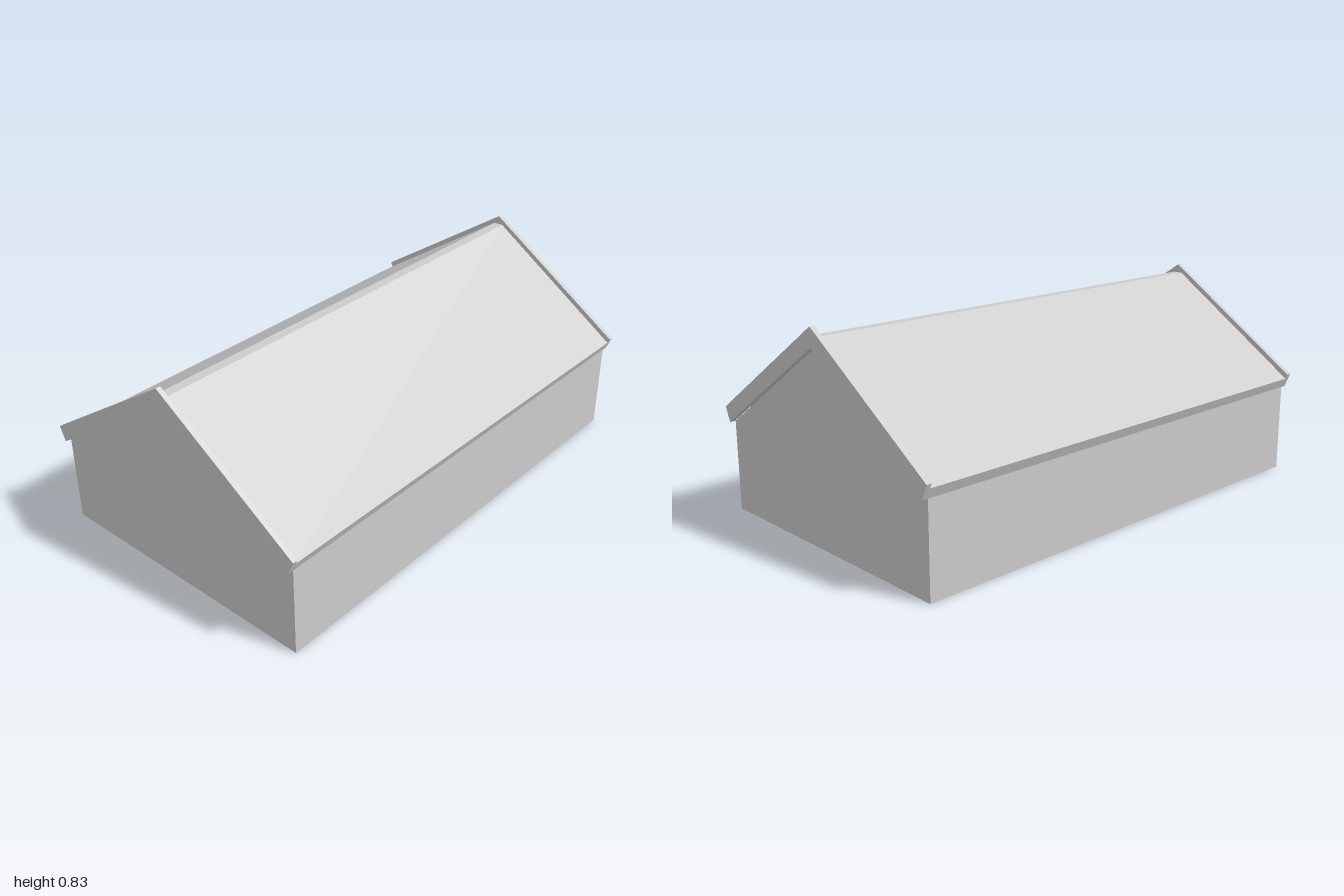
import * as THREE from 'three';

const grey = new THREE.MeshStandardMaterial({ color: 0xcccccc, side: THREE.DoubleSide });
grey.name = 'light grey';

const wallX = 0.976, wallZ = 0.587, eaveY = 0.361, ridgeY = 0.752;

// Closed symmetric outline from its right half, given as [z, y] points
function mirrored(half) {
  const left = half.filter(([z]) => z > 0).map(([z, y]) => [-z, y]).reverse();
  return new THREE.Shape([...half, ...left].map(([z, y]) => new THREE.Vector2(z, y)));
}

// Open sheet running along x, following a [z, y] profile from front to back
function sheet(profile, halfLength) {
  const pos = [];
  for (let i = 0; i < profile.length - 1; i++) {
    const [az, ay] = profile[i], [bz, by] = profile[i + 1], x = halfLength;
    pos.push(-x, ay, az, x, ay, az, x, by, bz, -x, ay, az, x, by, bz, -x, by, bz);
  }
  const geo = new THREE.BufferGeometry();
  geo.setAttribute('position', new THREE.Float32BufferAttribute(pos, 3));
  geo.computeVertexNormals();
  return geo;
}

export function createModel() {
  const group = new THREE.Group();
  group.name = 'gabledBuilding';
  const add = (geo, name) => {
    const mesh = new THREE.Mesh(geo, grey);
    mesh.name = name;
    group.add(mesh);
  };

  // Roof skin: fascia, slope, narrow flat ridge, slope, fascia
  const half = [[wallZ, eaveY], [0.603, 0.4], [0.02, 0.79]];
  const back = half.map(([z, y]) => [-z, y]).reverse();
  add(sheet([...half, ...back], 0.98), 'roof');

  const gableOutline = mirrored([[0, ridgeY], [wallZ, eaveY], [wallZ, 0]]);
  const boardOutline = mirrored([[0, 0.826], [0.612, 0.419], [wallZ, eaveY], [0, ridgeY]]);

  for (const s of [1, -1]) {
    // Single-sheet walls, open at the bottom
    const wall = new THREE.PlaneGeometry(2 * wallX, eaveY);
    wall.translate(0, eaveY / 2, wallZ).rotateY(s > 0 ? 0 : Math.PI);
    add(wall, s > 0 ? 'frontWall' : 'backWall');

    const side = s > 0 ? 'left' : 'right';
    const gable = new THREE.ShapeGeometry(gableOutline);
    gable.translate(0, 0, wallX).rotateY(s * Math.PI / 2);
    add(gable, side + 'Gable');

    // Raised verge board covering the roof end
    const board = new THREE.ExtrudeGeometry(boardOutline, { depth: 0.02, bevelEnabled: false });
    board.translate(0, 0, 0.98).rotateY(s * Math.PI / 2);
    add(board, side + 'VergeBoard');
  }
  return group;
}
